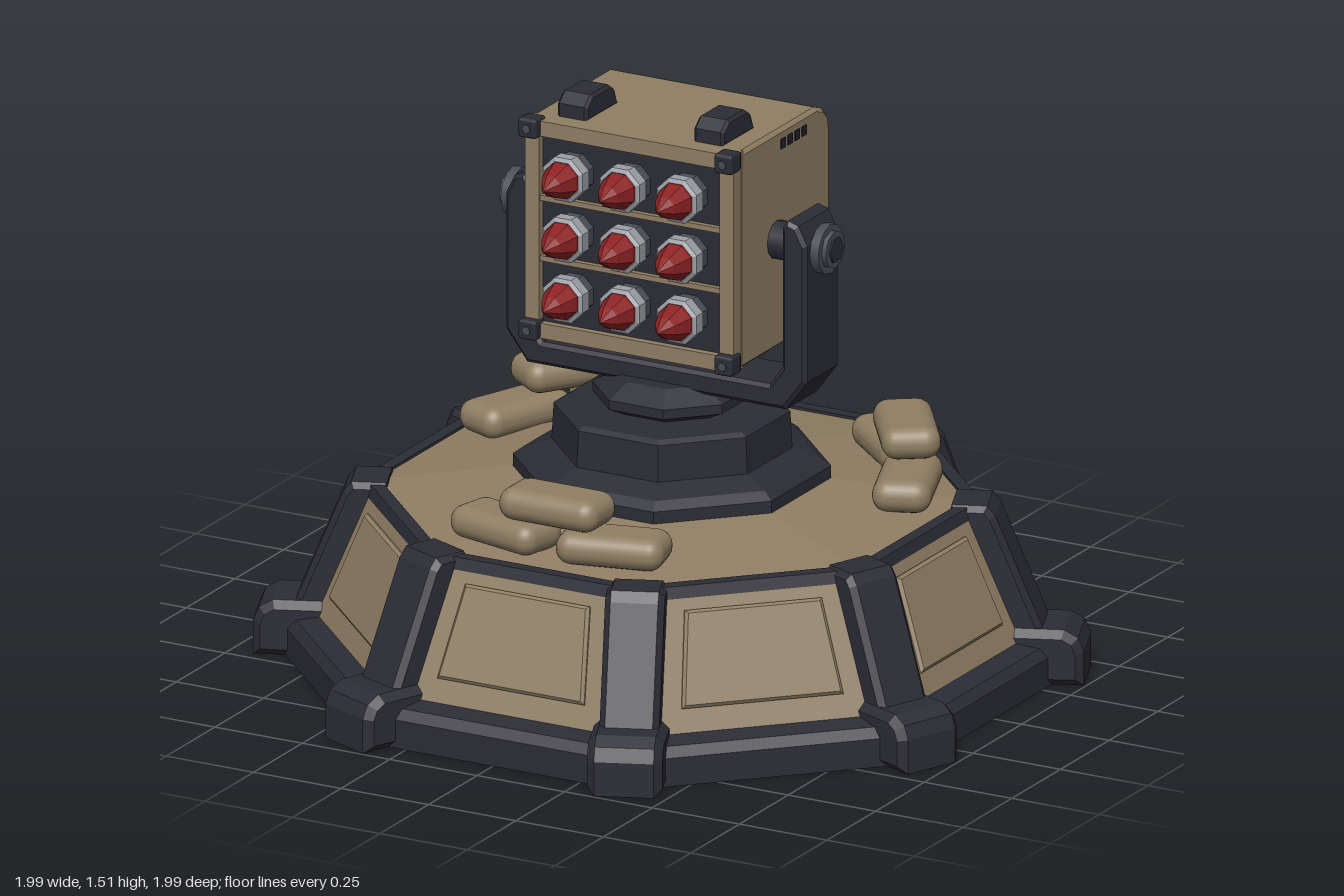
import * as THREE from 'three';
import { RoundedBoxGeometry } from 'three/addons/geometries/RoundedBoxGeometry.js';

const mat = (name, color) => {
  const m = new THREE.MeshStandardMaterial({ color });
  m.name = name;
  return m;
};

export function createModel() {
  const tan = mat('sand tan', 0x8f7e63);
  const dark = mat('dark metal', 0x2c2c36);
  const black = mat('recess black', 0x22232b);
  const steel = mat('steel grey', 0x484d55);
  const light = mat('light grey', 0x9b9ea4);
  const red = mat('warhead red', 0x8e2224);

  const root = new THREE.Group();
  root.name = 'missileTurret';
  const OCT = Math.cos(Math.PI / 8);

  const add = (parent, name, geo, material, x = 0, y = 0, z = 0) => {
    const m = new THREE.Mesh(geo, material);
    m.name = name;
    m.position.set(x, y, z);
    parent.add(m);
    return m;
  };
  const group = (name) => {
    const g = new THREE.Group();
    g.name = name;
    root.add(g);
    return g;
  };
  const box = (w, h, d) => new THREE.BoxGeometry(w, h, d);

  // Eight-sided turned part with flats on the axes; profile is [apothem, y]
  const octagon = (profile) => {
    const pts = profile.map(([a, y]) => new THREE.Vector2(a / OCT, y));
    const g = new THREE.LatheGeometry(pts, 8, Math.PI / 8).toNonIndexed();
    g.computeVertexNormals();
    return g;
  };
  // Outline extruded symmetrically about z, with a chamfer inside the outline
  const slab = (points, width, bevel = 0) => {
    const shape = new THREE.Shape(points.map(([x, y]) => new THREE.Vector2(x, y)));
    const depth = width - 2 * bevel;
    const g = new THREE.ExtrudeGeometry(shape, {
      depth, bevelEnabled: bevel > 0, bevelThickness: bevel,
      bevelSize: bevel, bevelOffset: -bevel, bevelSegments: 1,
    });
    return g.translate(0, 0, -depth / 2);
  };
  // Same, with the outline given as [z, y] and the extrusion along x
  const slabX = (points, width, bevel) => slab(points, width, bevel).rotateY(-Math.PI / 2);

  // Fortified base
  const base = group('base');
  add(base, 'kerb', octagon([[0, 0], [0.92, 0], [0.92, 0.075], [0.9, 0.1], [0.84, 0.112]]), dark);
  add(base, 'wall', octagon([[0.85, 0.1], [0.722, 0.435]]), tan);
  add(base, 'rim', octagon([[0.727, 0.425], [0.718, 0.455], [0.685, 0.455], [0.685, 0.435]]), dark);
  add(base, 'deck', octagon([[0.69, 0.447], [0.36, 0.5], [0, 0.5]]), tan);

  const slope = Math.atan2(0.85 - 0.722, 0.335);
  const pillar = slabX([[0.66, 0.02], [0.95, 0.02], [0.945, 0.13], [0.82, 0.435], [0.8, 0.46], [0.71, 0.46]], 0.15, 0.015);
  const foot = slabX([[0.8, 0], [1.045, 0], [1.045, 0.09], [1.03, 0.125], [0.995, 0.145], [0.85, 0.145]], 0.19, 0.02);
  const plate = slab([[-0.21, -0.12], [0.21, -0.12], [0.178, 0.125], [-0.178, 0.125]], 0.024, 0.008);
  for (let i = 0; i < 8; i++) {
    const a = i * Math.PI / 4;
    const side = new THREE.Group();
    side.name = 'baseSide';
    side.rotation.y = a;
    base.add(side);
    add(side, 'armourPlate', plate, tan, 0, 0.28, 0.782).rotation.x = -slope;
    add(side, 'cornerPillar', pillar, dark).rotation.y = Math.PI / 8;
    add(side, 'cornerFoot', foot, dark).rotation.y = Math.PI / 8;
  }

  // Three stacks of sandbags around the deck
  const bag = new RoundedBoxGeometry(0.28, 0.085, 0.15, 3, 0.04);
  for (const turn of [0, 125, -125]) {
    const stack = group('sandbagStack');
    stack.rotation.y = THREE.MathUtils.degToRad(turn);
    add(stack, 'topBag', bag, tan, 0, 0.59, 0.59);
    for (const s of [-1, 1]) {
      add(stack, 'lowerBag', bag, tan, s * 0.155, 0.503, 0.575).rotation.y = s * 0.24;
    }
  }

  // Turntable
  add(root, 'turntable', octagon([
    [0.37, 0.49], [0.37, 0.53], [0.345, 0.55], [0.28, 0.575], [0.275, 0.67], [0.26, 0.68], [0.14, 0.682],
    [0.185, 0.705], [0.185, 0.73], [0.13, 0.765], [0, 0.765],
  ]), dark);

  // Yoke
  const half = [[0.37, 0.75], [0.43, 0.83], [0.43, 1.19], [0.405, 1.24], [0.375, 1.25], [0.36, 1.23], [0.36, 0.86], [0.325, 0.81]];
  const mirrored = half.map(([x, y]) => [-x, y]).reverse();
  const yoke = group('yoke');
  add(yoke, 'yokeFrame', slab([...half, ...mirrored], 0.175, 0.01), dark);
  const rod = (r, length, sides) => new THREE.CylinderGeometry(r, r, length, sides).rotateZ(Math.PI / 2);
  for (const s of [-1, 1]) {
    add(yoke, 'axle', rod(0.05, 0.12, 12), dark, s * 0.32, 1.165, 0);
    add(yoke, 'hubDisc', rod(0.065, 0.025, 12), steel, s * 0.442, 1.165, 0);
    add(yoke, 'hubBoss', rod(0.05, 0.03, 8), steel, s * 0.452, 1.165, 0);
    add(yoke, 'hubBolt', rod(0.034, 0.025, 6), dark, s * 0.46, 1.165, 0);
  }

  // Launcher housing
  const pod = group('launcher');
  add(pod, 'housing', slabX([
    [0.19, 0.875], [0.19, 1.45], [-0.205, 1.45], [-0.245, 1.435], [-0.268, 1.41], [-0.275, 1.375],
    [-0.275, 0.97], [-0.19, 0.875],
  ].reverse(), 0.6, 0.01), tan);
  add(pod, 'launchFace', box(0.53, 0.53, 0.02), dark, 0, 1.165, 0.19);
  for (const s of [-1, 1]) {
    add(pod, 'sideFrame', box(0.04, 0.575, 0.05), tan, s * 0.278, 1.1625, 0.195);
    add(pod, 'crossFrame', box(0.52, 0.04, 0.05), tan, 0, 1.1625 + s * 0.2675, 0.195);
    add(pod, 'rowDivider', box(0.52, 0.014, 0.03), tan, 0, 1.165 + s * 0.08, 0.2);
    for (const t of [-1, 1]) {
      add(pod, 'cornerBracket', new RoundedBoxGeometry(0.052, 0.052, 0.055, 1, 0.008), dark, s * 0.28, 1.165 + t * 0.267, 0.217);
      add(pod, 'bracketBolt', rod(0.012, 0.01, 6).rotateY(Math.PI / 2), steel, s * 0.28, 1.165 + t * 0.267, 0.243);
    }
    // Roof lugs and side vents
    add(pod, 'roofLug', slabX([
      [0, 1.445], [0.165, 1.445], [0.165, 1.485], [0.135, 1.51], [0.045, 1.51], [0.015, 1.49],
    ], 0.086, 0.008), dark, s * 0.195, 0, 0);
    for (let i = 0; i < 4; i++) {
      add(pod, 'vent', box(0.008, 0.026, 0.022), black, s * 0.299, 1.41, -0.03 - i * 0.036);
    }
    add(pod, 'rearPanelStrip', box(0.018, 0.17, 0.008), steel, s * 0.175, 1.205, -0.31);
  }
  // Rear hatch
  add(pod, 'rearPanel', new RoundedBoxGeometry(0.44, 0.245, 0.04, 1, 0.01), dark, 0, 1.205, -0.283);
  add(pod, 'rearPanelInset', box(0.33, 0.19, 0.02), black, 0, 1.205, -0.3);

  // Three by three missiles
  const turned = (profile) => octagon(profile).rotateX(Math.PI / 2);
  const sleeve = turned([[0.05, 0.19], [0.05, 0.24]]);
  const collar = turned([[0.045, 0.232], [0.057, 0.236], [0.057, 0.268], [0.047, 0.274], [0.04, 0.265]]);
  const nose = turned([[0.045, 0.262], [0.045, 0.28], [0.027, 0.33], [0, 0.372]]);
  for (const x of [-0.163, 0, 0.163]) {
    for (const y of [1.005, 1.165, 1.325]) {
      add(pod, 'missileSleeve', sleeve, steel, x, y, 0);
      add(pod, 'missileCollar', collar, light, x, y, 0);
      add(pod, 'missileNose', nose, red, x, y, 0);
    }
  }
  return root;
}
